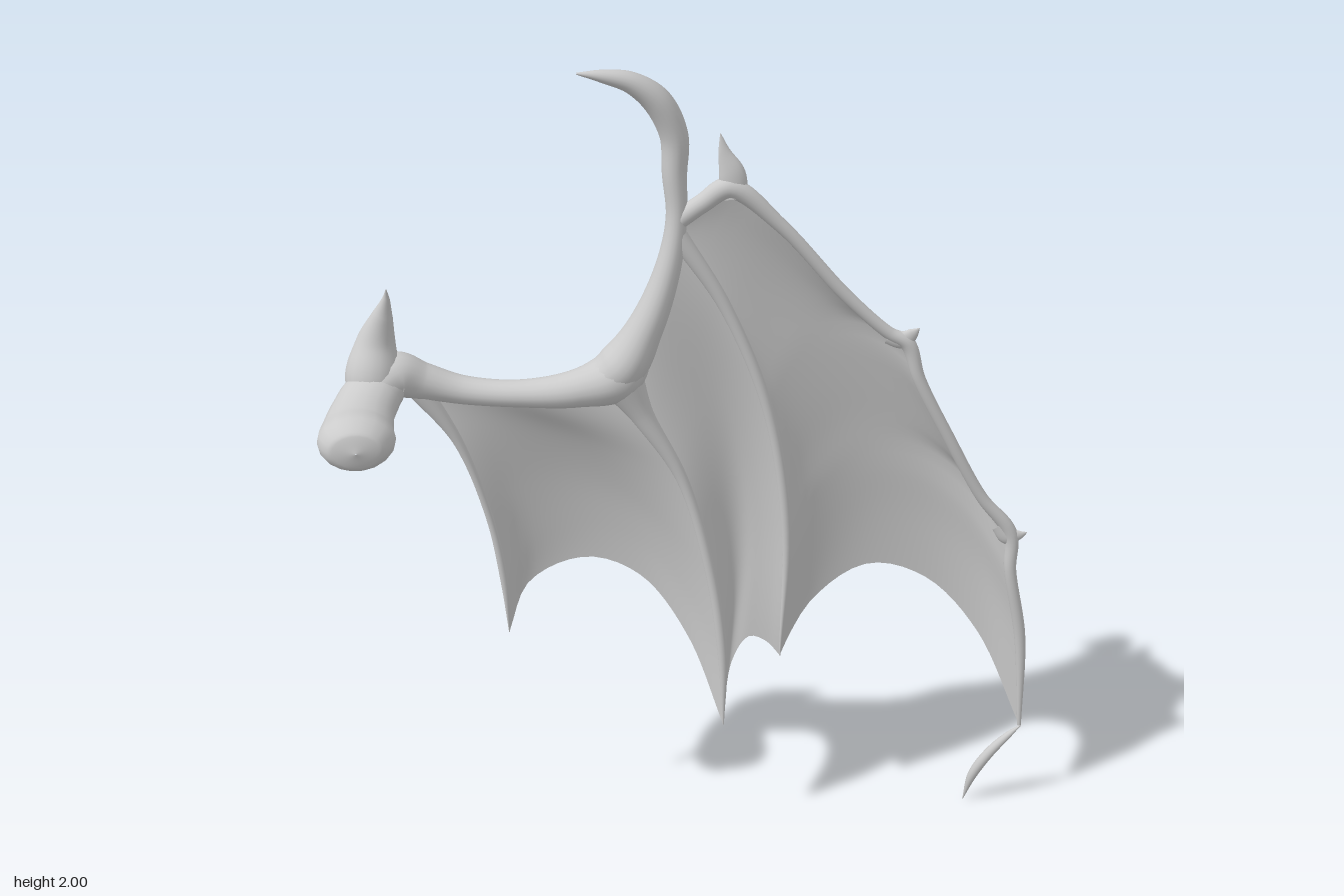
import * as THREE from 'three';

const material = new THREE.MeshStandardMaterial({ color: 0xcccccc });
const skin = new THREE.MeshStandardMaterial({ color: 0xcccccc, side: THREE.DoubleSide });
const path = (pts) => new THREE.CatmullRomCurve3(pts.map((p) => new THREE.Vector3(p[0], p[1], p[2])));

function gridMesh(name, positions, index, mat) {
  const geo = new THREE.BufferGeometry();
  geo.setAttribute('position', new THREE.Float32BufferAttribute(positions, 3));
  geo.setIndex(index);
  geo.computeVertexNormals();
  const mesh = new THREE.Mesh(geo, mat);
  mesh.name = name;
  return mesh;
}

// Tapered limb through points [x, y, z, radius]; depth and width stretch the section along z and x
function limb(name, pts, depth = 1, width = 1) {
  const sides = 18;
  const curve = path(pts);
  const radii = new THREE.CatmullRomCurve3(pts.map((p) => new THREE.Vector3(p[3], 0, 0)), false, 'catmullrom');
  const steps = (pts.length - 1) * 8;
  const pos = [], idx = [];
  const n = new THREE.Vector3(0.31, 0.52, 0.8), b = new THREE.Vector3();
  for (let i = 0; i <= steps; i++) {
    const t = i / steps, c = curve.getPoint(t), tan = curve.getTangent(t);
    const r = Math.max(radii.getPoint(t).x, 0.0005);
    n.addScaledVector(tan, -n.dot(tan)).normalize();
    b.crossVectors(tan, n);
    for (let j = 0; j < sides; j++) {
      const a = (j / sides) * Math.PI * 2;
      const o = n.clone().multiplyScalar(Math.cos(a) * r).addScaledVector(b, Math.sin(a) * r);
      pos.push(c.x + o.x * width, c.y + o.y, c.z + o.z * depth);
      if (i === steps) continue;
      const k = i * sides + j, k2 = i * sides + (j + 1) % sides;
      idx.push(k, k2, k + sides, k2, k2 + sides, k + sides);
    }
  }
  return gridMesh(name, pos, idx, material);
}

// Skin stretched between two fingers, with a scalloped lower edge and a backward billow;
// skew below 1 moves the deepest part towards the left curve, reach above 0.5 lifts it off the lower edge
function membrane(name, left, right, top, bottom, billow, skew, reach) {
  const U = 28, V = 36, pos = [], idx = [];
  const [l, r, tp, bt] = [left, right, top, bottom].map(path);
  for (let i = 0; i <= V; i++) {
    const v = i / V, L = l.getPointAt(v), R = r.getPointAt(v);
    for (let j = 0; j <= U; j++) {
      const u = j / U;
      const p = L.clone().lerp(R, u);
      const edge = (curve, a, c, w) => {
        const base = a.clone().lerp(c, u);
        p.addScaledVector(curve.getPointAt(u).sub(base), w);
      };
      edge(tp, l.getPoint(0), r.getPoint(0), 1 - v);
      edge(bt, l.getPoint(1), r.getPoint(1), v);
      p.z -= billow * Math.sin(Math.PI * u ** skew) * Math.sin(Math.PI * reach * v);
      pos.push(p.x, p.y, p.z);
      if (i === V || j === U) continue;
      const k = i * (U + 1) + j;
      idx.push(k, k + U + 1, k + 1, k + 1, k + U + 1, k + U + 2);
    }
  }
  return gridMesh(name, pos, idx, skin);
}

export function createModel() {
  const wing = new THREE.Group();
  wing.name = 'wing';

  // Rounded shoulder, upper arm, elbow, forearm and hooked thumb
  wing.add(limb('shoulder', [
    [-0.773, 1.22, 0.17, 0.001], [-0.773, 1.22, 0.157, 0.043], [-0.773, 1.22, 0.112, 0.064], [-0.77, 1.225, 0.05, 0.06],
    [-0.757, 1.242, -0.01, 0.055], [-0.73, 1.265, -0.06, 0.053], [-0.685, 1.28, -0.09, 0.045], [-0.62, 1.265, -0.1, 0.03],
  ], 1.1, 1.34));
  wing.add(limb('upperArm', [
    [-0.74, 1.265, -0.05, 0.045], [-0.685, 1.29, -0.09, 0.054], [-0.62, 1.268, -0.1, 0.042], [-0.53, 1.243, -0.095, 0.033],
    [-0.4, 1.238, -0.07, 0.032], [-0.27, 1.252, -0.052, 0.044], [-0.175, 1.28, -0.058, 0.06], [-0.12, 1.35, -0.055, 0.03],
  ], 1.1));
  wing.add(limb('forearmAndThumb', [
    [-0.27, 1.255, -0.053, 0.025], [-0.175, 1.295, -0.056, 0.056], [-0.112, 1.395, -0.052, 0.042], [-0.06, 1.53, -0.057, 0.03],
    [-0.038, 1.65, -0.065, 0.024], [-0.041, 1.75, -0.072, 0.028], [-0.042, 1.84, -0.073, 0.032],
    [-0.078, 1.918, -0.066, 0.032], [-0.135, 1.965, -0.055, 0.024], [-0.2, 1.985, -0.045, 0.014], [-0.255, 1.994, -0.04, 0.002],
  ], 1.15));
  wing.add(limb('shoulderSpike', [
    [-0.74, 1.235, -0.06, 0.05], [-0.734, 1.3, -0.08, 0.062], [-0.722, 1.37, -0.095, 0.046],
    [-0.703, 1.44, -0.085, 0.024], [-0.692, 1.485, -0.072, 0.009], [-0.69, 1.512, -0.062, 0.001],
  ], 0.95));

  // Finger bones
  const inner = [[-0.64, 1.26, -0.1], [-0.55, 1.11, -0.1], [-0.485, 0.9, -0.11], [-0.457, 0.72, -0.115], [-0.45, 0.572, -0.12]];
  const second = [[-0.17, 1.27, -0.055], [-0.12, 1.175, -0.045], [-0.03, 1.01, -0.038], [0.035, 0.77, -0.03], [0.067, 0.53, -0.024], [0.07, 0.322, -0.024]];
  const third = [[-0.035, 1.61, -0.06], [0.075, 1.43, -0.055], [0.175, 1.17, -0.05], [0.224, 0.85, -0.05], [0.215, 0.495, -0.055]];
  const outer = [
    [-0.03, 1.65, -0.06], [0.02, 1.685, -0.058], [0.08, 1.718, -0.058], [0.2, 1.622, -0.057], [0.35, 1.45, -0.06],
    [0.455, 1.35, -0.06], [0.502, 1.32, -0.06], [0.533, 1.23, -0.055], [0.614, 1.07, -0.055], [0.704, 0.905, -0.06],
    [0.782, 0.8, -0.06], [0.788, 0.7, -0.055], [0.828, 0.5, -0.06], [0.845, 0.235, -0.06],
  ];
  const finger = (name, pts, radii) => wing.add(limb(name, pts.map((p, i) => [...p, radii[i]])));
  finger('innerFinger', inner, [0.028, 0.012, 0.009, 0.009, 0.001]);
  finger('secondFinger', second, [0.055, 0.027, 0.014, 0.013, 0.012, 0.002]);
  finger('thirdFinger', third, [0.022, 0.015, 0.013, 0.012, 0.002]);
  finger('outerFinger', outer, [0.022, 0.022, 0.024, 0.016, 0.015, 0.015, 0.018, 0.015, 0.014, 0.014, 0.018, 0.015, 0.014, 0.005]);

  // Flattened knuckle spurs
  const spurs = [
    [[0.092, 1.695, -0.058, 0.03], [0.086, 1.75, -0.06, 0.03], [0.069, 1.8, -0.062, 0.014], [0.06, 1.842, -0.063, 0.001]],
    [[0.45, 1.34, -0.06, 0.016], [0.492, 1.331, -0.059, 0.022], [0.513, 1.346, -0.056, 0.014], [0.527, 1.36, -0.053, 0.001]],
    [[0.748, 0.825, -0.06, 0.016], [0.779, 0.793, -0.059, 0.023], [0.802, 0.795, -0.056, 0.014], [0.823, 0.803, -0.053, 0.001]],
  ];
  spurs.forEach((s, i) => wing.add(limb('knuckleSpur' + (i + 1), s, 0.55)));

  // Claw at the wing tip
  wing.add(limb('tipClaw', [
    [0.85, 0.235, -0.058, 0.001], [0.815, 0.207, -0.055, 0.009], [0.77, 0.155, -0.058, 0.013],
    [0.733, 0.085, -0.067, 0.012], [0.714, 0.003, -0.077, 0.001],
  ]));

  // Membrane panels between neighbouring fingers
  wing.add(membrane('innerMembrane', inner, second,
    [inner[0], [-0.52, 1.24, -0.095], [-0.38, 1.235, -0.07], [-0.25, 1.25, -0.055], second[0]],
    [inner[4], [-0.395, 0.685, -0.115], [-0.25, 0.74, -0.09], [-0.12, 0.69, -0.065], [-0.01, 0.54, -0.04], second[5]], 0.092, 0.88, 0.5));
  wing.add(membrane('middleMembrane', second, third,
    [second[0], [-0.1, 1.41, -0.055], [-0.06, 1.53, -0.057], third[0]],
    [second[5], [0.098, 0.48, -0.035], [0.14, 0.545, -0.045], [0.18, 0.533, -0.05], third[4]], 0.06, 1, 0.8));
  wing.add(membrane('outerMembrane', third, outer,
    [third[0], [-0.032, 1.63, -0.06], outer[0]],
    [third[4], [0.31, 0.615, -0.055], [0.45, 0.685, -0.058], [0.6, 0.635, -0.06], [0.735, 0.485, -0.06], outer[13]], 0.1, 0.78, 0.5));

  return wing;
}
